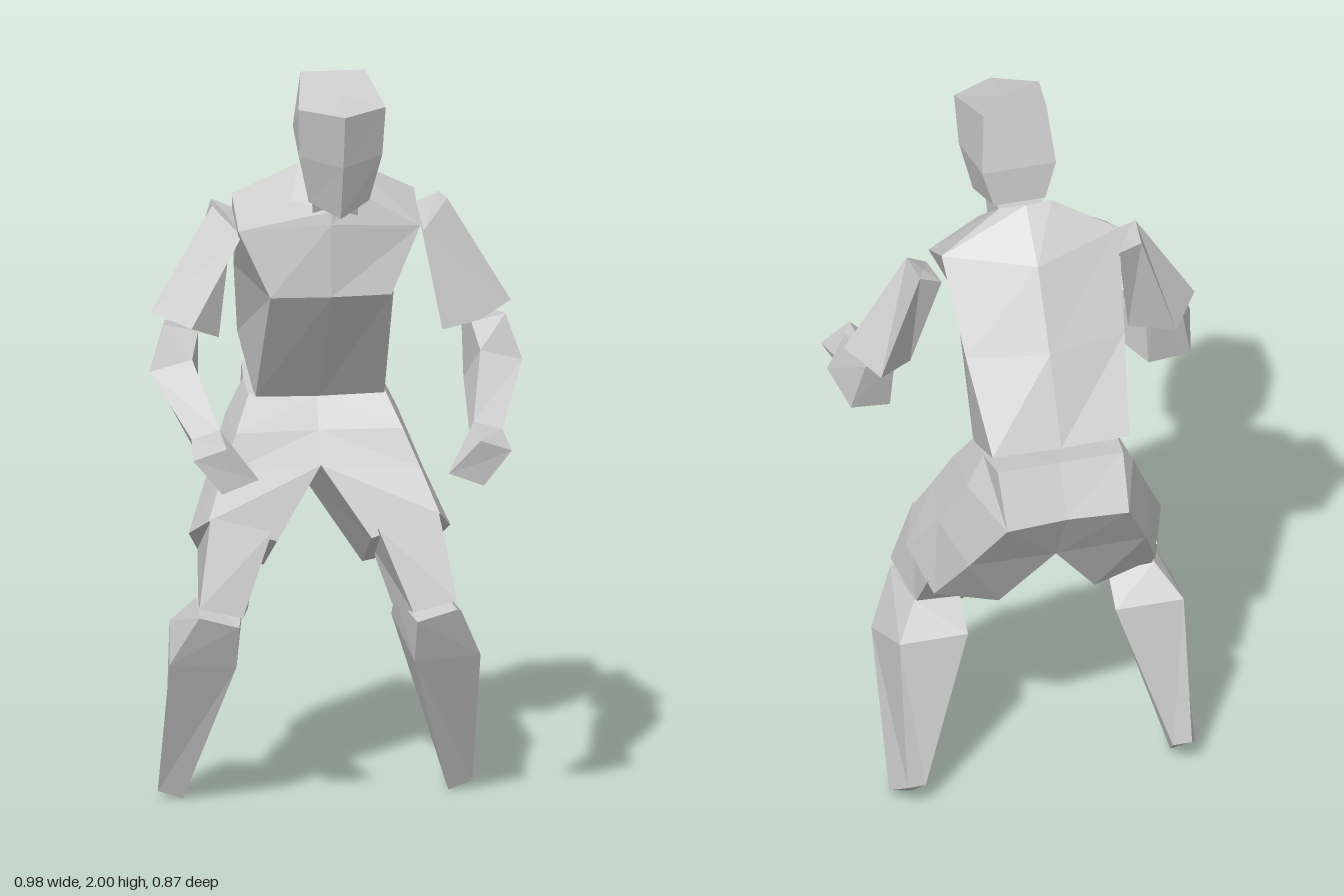
import * as THREE from 'three';

const skin = new THREE.MeshStandardMaterial({ color: 0xcccccc, flatShading: true });
skin.name = 'plain grey';

// Closed faceted solid through rings of equal point count; always faces outward
function loft(name, rings) {
  const tris = [], n = rings[0].length;
  const mid = r => [0, 1, 2].map(k => r.reduce((s, p) => s + p[k], 0) / n);
  const first = rings[0], last = rings[rings.length - 1];
  const c0 = mid(first), c1 = mid(last);
  for (let j = 0; j < n; j++) {
    const k = (j + 1) % n;
    for (let i = 0; i < rings.length - 1; i++) {
      const a = rings[i], b = rings[i + 1];
      tris.push([a[j], a[k], b[k]], [a[j], b[k], b[j]]);
    }
    tris.push([c0, first[k], first[j]], [c1, last[j], last[k]]);
  }
  let volume = 0;
  const [a, b, c] = [new THREE.Vector3(), new THREE.Vector3(), new THREE.Vector3()];
  for (const t of tris) volume += a.fromArray(t[0]).dot(b.fromArray(t[1]).cross(c.fromArray(t[2])));
  if (volume < 0) tris.forEach(t => t.reverse());
  const geo = new THREE.BufferGeometry();
  geo.setAttribute('position', new THREE.Float32BufferAttribute(tris.flat(2), 3));
  geo.computeVertexNormals();
  const mesh = new THREE.Mesh(geo, skin);
  mesh.name = name;
  return mesh;
}

// Full ring from its +x half, listed front to back
const whole = half => [...half, ...half.filter(p => p[0] > 0).reverse().map(([x, y, z]) => [-x, y, z])];

// Left part plus its mirror image
function pair(group, name, rings) {
  group.add(loft('left' + name, rings));
  group.add(loft('right' + name, rings.map(r => r.map(([x, y, z]) => [-x, y, z]))));
}

export function createModel() {
  const model = new THREE.Group();
  model.name = 'crouchingFigure';
  const upper = new THREE.Group();
  upper.name = 'upperBody';
  const lower = new THREE.Group();
  lower.name = 'lowerBody';
  lower.position.x = -0.02;
  model.add(upper, lower);

  // Head with a ridge down the face
  upper.add(loft('head', [
    [[0, 1.64, 0.18], [0.08, 1.68, 0.145], [0.07, 1.74, -0.025]],
    [[0, 1.79, 0.232], [0.11, 1.81, 0.175], [0.1, 1.845, -0.02]],
    [[0, 1.935, 0.268], [0.115, 1.945, 0.205], [0.085, 2, 0.02]],
  ].map(whole)));

  upper.add(loft('neck', [
    [[0.06, 1.58, 0.05], [0.06, 1.65, -0.07]],
    [[0.06, 1.7, 0.1], [0.06, 1.77, -0.01]],
  ].map(whole)));

  // Torso leaning forward
  const torso = loft('torso', [
    [[0, 1.08, -0.145], [0.17, 1.08, -0.145], [0.185, 1.2, -0.39], [0, 1.2, -0.395]],
    [[0, 1.405, 0.085], [0.16, 1.405, 0.075], [0.215, 1.42, -0.235], [0, 1.42, -0.28]],
    [[0, 1.6, 0.085], [0.24, 1.58, 0.045], [0.24, 1.65, -0.085], [0, 1.62, -0.16]],
    [[0, 1.635, 0.08], [0.1, 1.66, 0.05], [0.07, 1.74, -0.04], [0, 1.74, -0.045]],
  ].map(whole));
  torso.position.x = -0.012;
  upper.add(torso);

  // Sleeves: front, outer, back, inner
  pair(upper, 'Sleeve', [
    [[0.24, 1.56, 0.02], [0.31, 1.63, -0.04], [0.3, 1.625, -0.135], [0.24, 1.6, -0.13]],
    [[0.38, 1.33, 0.08], [0.475, 1.355, -0.02], [0.4, 1.31, -0.115], [0.295, 1.28, -0.02]],
  ]);

  // Bent elbow and forearm: outer top, inner top, inner bottom, outer bottom
  const wrist = [[0.41, 1.09, 0.3], [0.335, 1.11, 0.29], [0.33, 1.04, 0.28], [0.39, 1.04, 0.3]];
  pair(upper, 'Forearm', [
    [[0.45, 1.34, 0.06], [0.36, 1.32, 0.06], [0.35, 1.3, -0.06], [0.43, 1.32, -0.07]],
    [[0.492, 1.22, 0.085], [0.38, 1.25, 0.09], [0.35, 1.15, -0.02], [0.46, 1.17, -0.035]],
    wrist,
  ]);
  pair(upper, 'Hand', [
    wrist,
    [[0.42, 1.06, 0.41], [0.335, 1.095, 0.435], [0.25, 1.01, 0.435], [0.345, 0.97, 0.42]],
  ]);

  // Shorts: inner front, outer front, side, outer back, inner back
  pair(lower, 'ShortsHalf', [
    [[0, 1.08, -0.145], [0.18, 1.09, -0.145], [0.18, 1.11, -0.25], [0.17, 1.125, -0.355], [0, 1.12, -0.35]],
    [[0, 1, -0.1], [0.22, 1, -0.09], [0.225, 1.02, -0.25], [0.165, 0.985, -0.432], [0, 0.985, -0.42]],
    [[0, 0.915, -0.06], [0.262, 0.9, -0.05], [0.285, 0.87, -0.18], [0.24, 0.82, -0.33], [0, 0.8, -0.31]],
    [[0.125, 0.73, 0.005], [0.305, 0.79, 0.005], [0.345, 0.735, -0.09], [0.3, 0.65, -0.2], [0.13, 0.61, -0.22]],
  ]);

  // Legs: inner front, outer front, outer back, inner back
  pair(lower, 'Thigh', [
    [[0.14, 0.76, 0.02], [0.3, 0.8, 0.01], [0.31, 0.68, -0.18], [0.15, 0.66, -0.19]],
    [[0.225, 0.545, 0.08], [0.34, 0.575, 0.085], [0.32, 0.55, -0.09], [0.19, 0.53, -0.08]],
  ]);
  pair(lower, 'Shin', [
    [[0.235, 0.52, 0.085], [0.34, 0.55, 0.085], [0.325, 0.56, -0.095], [0.2, 0.55, -0.095]],
    [[0.235, 0.4, 0.03], [0.41, 0.41, 0.02], [0.385, 0.48, -0.17], [0.2, 0.48, -0.17]],
    [[0.35, 0, -0.165], [0.415, 0.02, -0.175], [0.385, 0.075, -0.252], [0.335, 0.07, -0.245]],
  ]);
  return model;
}
